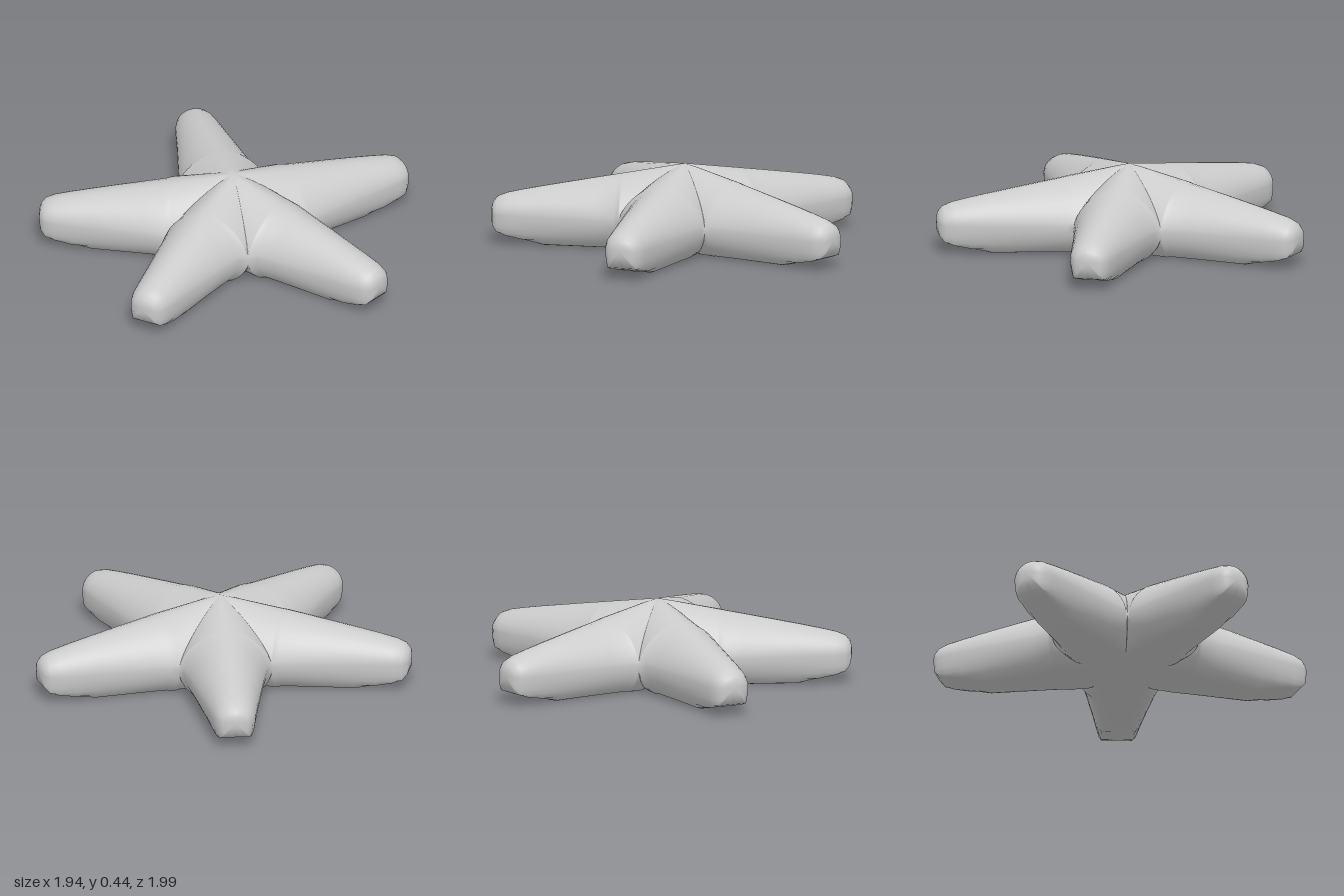
import * as THREE from 'three';
import { mergeVertices } from 'three/addons/utils/BufferGeometryUtils.js';

const CENTRE_X = -0.06;
const MID_Y = 0.16;      // height of the widest line of an arm
const NOTCH = 0.33;      // distance along an arm at which it parts from its neighbours
const COLUMNS = 9;       // columns from ridge to side

// arm directions in degrees, turning from +x to +z
const ARMS = [0.5, 70, 146.6, 212.4, 287];

// outer stations of an arm: distance, half width, top, bottom
const STATIONS = [
  [0.36, 0.223, 0.38, 0], [0.46, 0.2, 0.362, 0], [0.6, 0.174, 0.336, 0],
  [0.75, 0.146, 0.308, 0], [0.86, 0.128, 0.286, 0.03], [0.95, 0.112, 0.266, 0.048],
  [1.0, 0.095, 0.246, 0.066], [1.025, 0.07, 0.218, 0.095], [1.033, 0.035, 0.19, 0.13],
  [1.035, 0, 0.16, 0.16],
];

// rows of one half arm; the inner ones end on the seam shared with the neighbour
function armRows(halfAngle) {
  const rows = [];
  const inner = 9;
  for (let k = 0; k <= inner; k++) {
    const s = NOTCH * (1 - (1 - k / inner) ** 2);
    rows.push({ s, w: s * Math.tan(halfAngle), top: 0.445 - 0.18 * s, bottom: 0, edge: s / NOTCH });
  }
  for (const [s, w, top, bottom] of STATIONS) rows.push({ s, w, top, bottom, edge: 1 });
  return rows;
}

// rounded section: ridged near the middle, round near the tip
function sectionHeight(row, u, upper) {
  const q = Math.min(1, u * row.edge);
  const p = upper ? 1.5 + 0.5 * Math.min(1, row.s) : 2;
  const f = Math.pow(Math.max(0, 1 - q ** p), 1 / p);
  if (upper) return MID_Y + (row.top - MID_Y) * f;
  return Math.max(row.bottom, MID_Y - 0.2 * f * Math.min(1, row.w / 0.1 + (row.s < NOTCH ? 1 : 0)));
}

// adds the upper or lower skin of one half arm (side is +1 or -1)
function addHalfArm(positions, angle, halfAngle, side, upper) {
  const rows = armRows(halfAngle);
  const c = Math.cos(angle), n = Math.sin(angle);
  const point = (i, j) => {
    const row = rows[i];
    const u = j === COLUMNS ? 1 : Math.sin((j / COLUMNS) * Math.PI / 2);
    const v = side * u * row.w;
    return [CENTRE_X + c * row.s - n * v, sectionHeight(row, u, upper), n * row.s + c * v];
  };
  const flip = (side > 0) !== upper;
  const tri = (a, b, d) => positions.push(...a, ...(flip ? d : b), ...(flip ? b : d));
  for (let i = 0; i < rows.length - 1; i++) {
    for (let j = 0; j < COLUMNS; j++) {
      const a = point(i, j), b = point(i, j + 1), d = point(i + 1, j), e = point(i + 1, j + 1);
      tri(a, b, d);
      tri(b, e, d);
    }
  }
}

export function createModel() {
  const group = new THREE.Group();
  group.name = 'starfish';
  const grey = new THREE.MeshStandardMaterial({ color: 0xcccccc });
  grey.name = 'pale grey';

  // five arms welded into one smooth body
  const positions = [];
  const rad = ARMS.map(THREE.MathUtils.degToRad);
  const turn = Math.PI * 2;
  rad.forEach((angle, i) => {
    const next = rad[(i + 1) % 5], previous = rad[(i + 4) % 5];
    const after = ((next - angle + turn) % turn) / 2;
    const before = ((angle - previous + turn) % turn) / 2;
    for (const upper of [true, false]) {
      addHalfArm(positions, angle, after, 1, upper);
      addHalfArm(positions, angle, before, -1, upper);
    }
  });

  let geometry = new THREE.BufferGeometry();
  geometry.setAttribute('position', new THREE.Float32BufferAttribute(positions, 3));
  geometry = mergeVertices(geometry, 1e-4);
  geometry.computeVertexNormals();

  const body = new THREE.Mesh(geometry, grey);
  body.name = 'body';
  group.add(body);
  return group;
}
